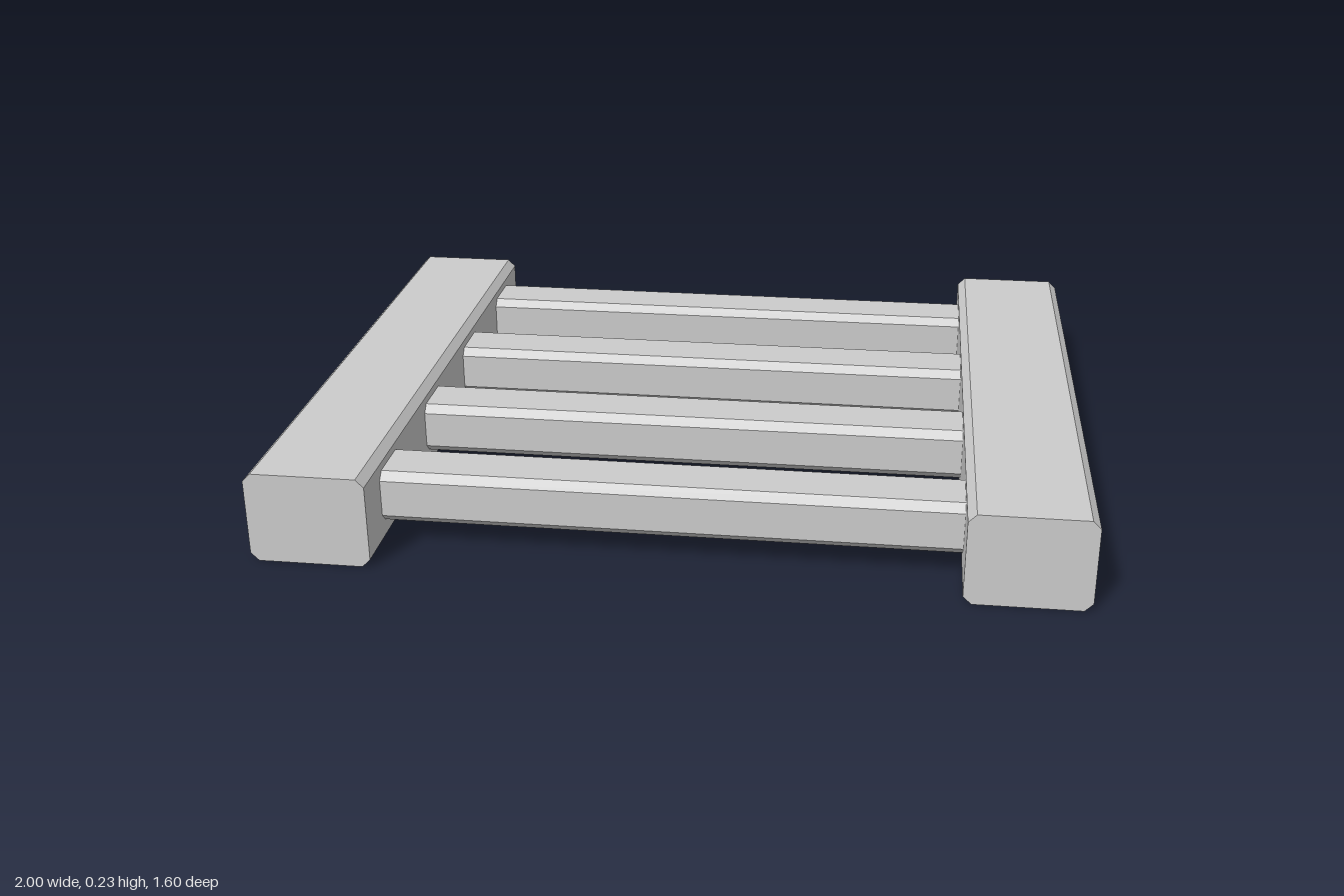
import * as THREE from 'three';

const grey = new THREE.MeshStandardMaterial({ color: 0xcccccc });
grey.name = 'light grey';

// Straight beam along z with chamfered long edges and flat ends, centred on the origin
function chamferedBeam(width, height, length, c) {
  const w = width / 2, h = height / 2;
  const section = new THREE.Shape([
    [-w + c, -h], [w - c, -h], [w, -h + c], [w, h - c],
    [w - c, h], [-w + c, h], [-w, h - c], [-w, -h + c],
  ].map(([x, y]) => new THREE.Vector2(x, y)));
  const geometry = new THREE.ExtrudeGeometry(section, { depth: length, bevelEnabled: false });
  return geometry.translate(0, 0, -length / 2);
}

export function createModel() {
  const model = new THREE.Group();
  model.name = 'ladderSection';

  // Side rails
  const inner = 0.703;
  const railHeight = 0.232;
  const railGeometry = chamferedBeam(1 - inner, railHeight, 1.6, 0.02);
  for (const side of [-1, 1]) {
    const rail = new THREE.Mesh(railGeometry, grey);
    rail.name = side > 0 ? 'leftRail' : 'rightRail';
    rail.position.set(side * (1 + inner) / 2, railHeight / 2, 0);
    model.add(rail);
  }

  // Rungs between the rails
  const rungGeometry = chamferedBeam(0.16, 0.133, inner * 2, 0.02).rotateY(Math.PI / 2);
  for (let i = 0; i < 4; i++) {
    const rung = new THREE.Mesh(rungGeometry, grey);
    rung.name = `rung${i + 1}`;
    rung.position.set(0, 0.126, -0.61 + i * 0.4045);
    model.add(rung);
  }
  return model;
}
